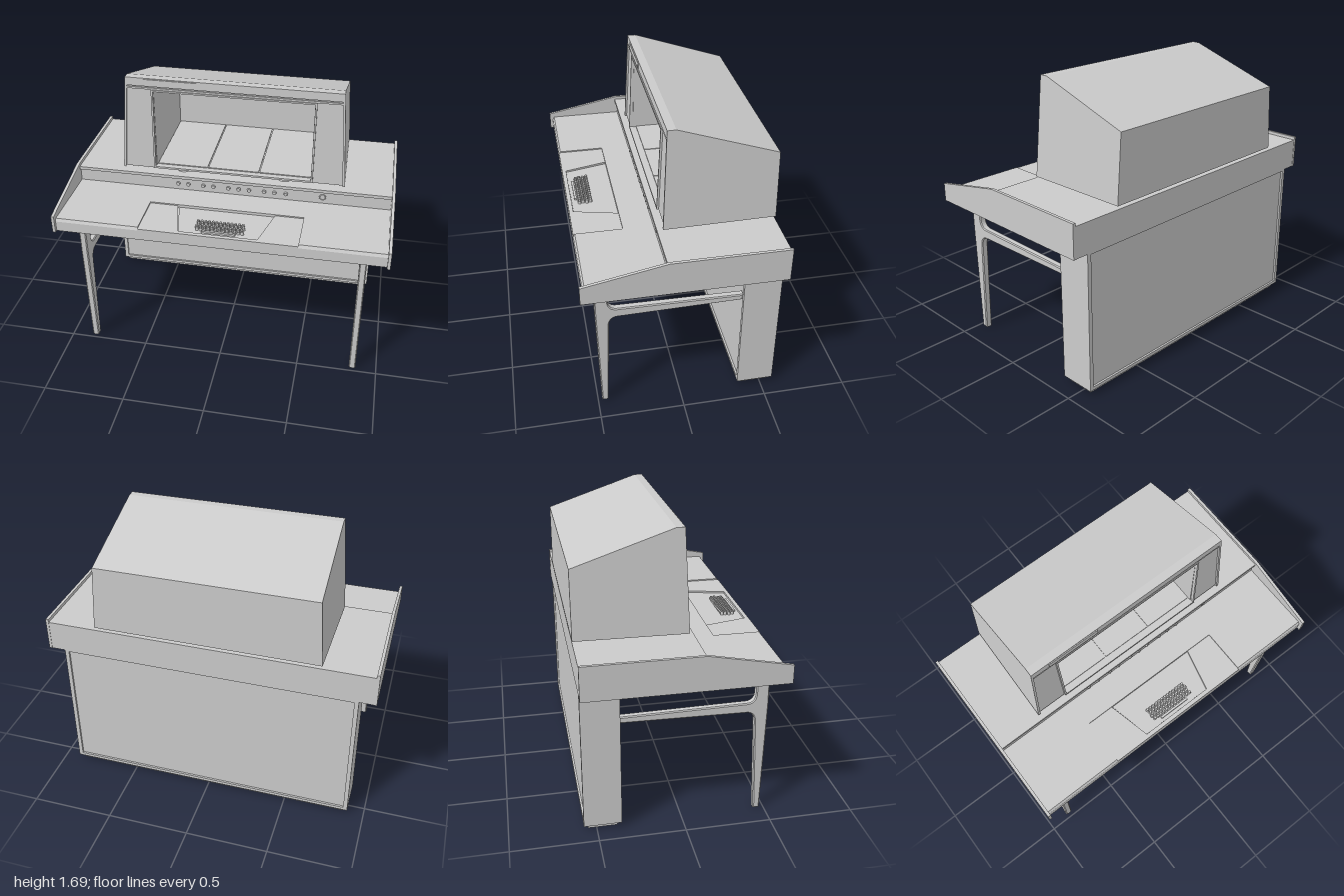
import * as THREE from 'three';

const grey = new THREE.MeshStandardMaterial({ color: 0xcccccc });

function add(parent, name, geo, x = 0, y = 0, z = 0) {
  const m = new THREE.Mesh(geo, grey);
  m.name = name;
  m.position.set(x, y, z);
  parent.add(m);
  return m;
}

// Box given by its minimum and maximum corners
function box(parent, name, x0, x1, y0, y1, z0, z1) {
  return add(parent, name, new THREE.BoxGeometry(x1 - x0, y1 - y0, z1 - z0),
    (x0 + x1) / 2, (y0 + y1) / 2, (z0 + z1) / 2);
}

const poly = pts => new THREE.Shape(pts.map(p => new THREE.Vector2(p[0], p[1])));

// Extrude a (z, y) profile across x, from x0 to x1
function acrossX(shape, x0, x1, bevel = 0) {
  const g = new THREE.ExtrudeGeometry(shape, {
    depth: x1 - x0 - 2 * bevel, curveSegments: 8, bevelEnabled: bevel > 0,
    bevelSize: bevel, bevelThickness: bevel, bevelOffset: -bevel, bevelSegments: 1,
  });
  g.rotateY(-Math.PI / 2);
  g.translate(x1 - bevel, 0, 0);
  return g;
}

// Extrude an (x, z) outline upwards from y0 to y1
function upward(pts, y0, y1) {
  const g = new THREE.ExtrudeGeometry(poly(pts.map(([x, z]) => [x, -z])), { depth: y1 - y0, bevelEnabled: false });
  g.rotateX(-Math.PI / 2);
  g.translate(0, y0, 0);
  return g;
}

// Apply a rule to every vertex
function warp(g, rule) {
  const p = g.attributes.position, v = new THREE.Vector3();
  for (let i = 0; i < p.count; i++) {
    rule(v.fromBufferAttribute(p, i));
    p.setXYZ(i, v.x, v.y, v.z);
  }
  g.computeVertexNormals();
  return g;
}

function makeDesk() {
  const desk = new THREE.Group();
  desk.name = 'desk';
  const side = poly([[0.58, 0.885], [0.58, 0.995], [0.1, 1.09], [-0.58, 1.09], [-0.58, 0.885]]);
  add(desk, 'leftEndPanel', acrossX(side, 0.982, 1));
  add(desk, 'rightEndPanel', acrossX(side, -1, -0.982));

  // Body with the raised rear deck
  const body = poly([[0.56, 0.885], [0.56, 0.945], [0.09, 0.945], [0.09, 1.05], [0.105, 1.05],
    [0.105, 1.07], [-0.578, 1.07], [-0.578, 0.885]]);
  add(desk, 'deskBody', acrossX(body, -0.982, 0.982));

  // Work surface around the keyboard bay, with a chamfered front edge
  const top = poly([[0.56, 0.945], [0.56, 0.95], [0.55, 0.968], [0.09, 0.968], [0.09, 0.945]]);
  add(desk, 'leftWorkTop', acrossX(top, 0.475, 0.982));
  add(desk, 'rightWorkTop', acrossX(top, -0.982, -0.475));
  box(desk, 'rearWorkTop', -0.475, 0.475, 0.945, 0.968, 0.09, 0.27);
  for (const s of [-1, 1]) {
    const pts = [[0.3, 0.27], [0.475, 0.27], [0.475, 0.56], [0.235, 0.56], [0.235, 0.535]];
    add(desk, 'keyboardFlank', upward(pts.map(([x, z]) => [s * x, z]), 0.944, 0.96));
  }
  box(desk, 'keyboardFrontRail', -0.235, 0.235, 0.944, 0.96, 0.535, 0.56);

  // Sunken keyboard tray and keys
  const tray = upward([[-0.295, 0.27], [0.295, 0.27], [0.234, 0.533], [-0.234, 0.533]], 0.94, 0.95);
  add(desk, 'keyboardTray', tray);
  const keyGeo = new THREE.CylinderGeometry(0.008, 0.011, 0.022, 8);
  for (let r = 0; r < 4; r++) {
    for (let k = 0; k < 13; k++) {
      add(desk, 'key', keyGeo, -0.138 + k * 0.0225 + (r % 2 ? 0.006 : 0), 0.963 - r * 0.002, 0.418 + r * 0.0225);
    }
  }
  box(desk, 'spaceBar', -0.1, 0.1, 0.945, 0.962, 0.5, 0.514);

  // Control knobs on the upright strip
  const knob = new THREE.CylinderGeometry(0.011, 0.013, 0.014, 16).rotateX(Math.PI / 2);
  for (const x of [-0.34, -0.275, -0.18, -0.115, -0.02, 0.045, 0.11, 0.205, 0.27, 0.34]) {
    add(desk, 'knob', knob, x, 1.01, 0.095);
  }
  add(desk, 'dialRing', new THREE.TorusGeometry(0.019, 0.003, 6, 24), 0.567, 1.01, 0.09);
  return desk;
}

function makePedestal() {
  const p = new THREE.Group();
  p.name = 'pedestal';
  box(p, 'pedestalCore', -0.88, 0.88, 0.04, 0.885, -0.563, -0.367);
  for (const s of [-1, 1]) box(p, 'pedestalEnd', s * 0.8875 - 0.0125, s * 0.8875 + 0.0125, 0.03, 0.885, -0.575, -0.355);
  box(p, 'bottomRail', -0.875, 0.875, 0.03, 0.05, -0.575, -0.355);
  box(p, 'topRail', -0.875, 0.875, 0.875, 0.885, -0.575, -0.355);
  box(p, 'plinth', -0.875, 0.875, 0, 0.03, -0.55, -0.38);
  return p;
}

// Tapered front leg with a filleted stretcher running back to the pedestal
function makeLeg(s) {
  const sh = new THREE.Shape();
  sh.moveTo(0.437, 0);
  sh.lineTo(0.475, 0);
  sh.lineTo(0.495, 0.7);
  sh.lineTo(0.495, 0.89);
  sh.lineTo(0.42, 0.89);
  sh.lineTo(0.42, 0.77);
  sh.quadraticCurveTo(0.418, 0.714, 0.37, 0.712);
  sh.lineTo(-0.36, 0.702);
  sh.lineTo(-0.36, 0.664);
  sh.lineTo(0.37, 0.652);
  sh.quadraticCurveTo(0.415, 0.65, 0.418, 0.59);
  const g = acrossX(sh, s * 0.85 - 0.021, s * 0.85 + 0.021, 0.006);
  const m = new THREE.Mesh(g, grey);
  m.name = s > 0 ? 'leftLegAndStretcher' : 'rightLegAndStretcher';
  return m;
}

function makeHood() {
  const hood = new THREE.Group();
  hood.name = 'hood';
  // Half width narrows upwards and slightly towards the back
  const half = (y, z) => 0.695 - 0.0667 * (y - 1.09) - 0.02 * (0.07 - z);
  const frontZ = y => 0.075 - 0.0417 * (y - 1.09);
  const widen = v => { v.x *= half(v.y, v.z); };

  // Wrap of floor, back and roof, closed by tapering side walls
  const wrap = poly([[0.06, 1.09], [-0.58, 1.09], [-0.58, 1.495], [0, 1.69], [0.05, 1.69], [0.05, 1.67],
    [0, 1.67], [-0.565, 1.48], [-0.565, 1.103], [0.06, 1.103]]);
  add(hood, 'hoodWrap', warp(acrossX(wrap, -0.995, 0.995), widen));
  const wall = poly([[0.075, 1.09], [-0.58, 1.09], [-0.58, 1.495], [0, 1.69], [0.05, 1.69]]);
  add(hood, 'leftHoodWall', warp(acrossX(wall, 0.98, 1), widen));
  add(hood, 'rightHoodWall', warp(acrossX(wall, -1, -0.98), widen));

  // Cavity walls
  const inner = poly([[0.05, 1.1], [-0.57, 1.1], [-0.57, 1.485], [0, 1.675], [0.035, 1.675]]);
  add(hood, 'leftCavityWall', acrossX(inner, 0.485, 0.497));
  add(hood, 'rightCavityWall', acrossX(inner, -0.497, -0.485));

  // Leaning front parts: flat outlines sheared onto the front plane
  const lean = (name, shape, depth, offset) => {
    const g = new THREE.ExtrudeGeometry(shape, { depth, bevelEnabled: false });
    return add(hood, name, warp(g, v => { v.z += frontZ(v.y) + offset - depth; }));
  };
  const rect = (x0, x1, y0, y1) => poly([[x0, y0], [x1, y0], [x1, y1], [x0, y1]]);
  const band = (y0, y1) => {
    const a = half(y0, 0.07) - 0.006, b = half(y1, 0.05) - 0.006;
    return poly([[-a, y0], [a, y0], [b, y1], [-b, y1]]);
  };
  const face = band(1.092, 1.688);
  face.holes.push(rect(-0.49, 0.49, 1.105, 1.612));
  lean('frontPanel', face, 0.015, -0.012);
  lean('topBand', band(1.64, 1.689), 0.015, 0);
  lean('lowerBand', band(1.619, 1.63), 0.012, -0.004);
  const trim = rect(-0.498, 0.498, 1.095, 1.618);
  trim.holes.push(rect(-0.487, 0.487, 1.107, 1.608));
  lean('openingTrim', trim, 0.02, 0);
  lean('namePlate', rect(-0.54, -0.218, 1.65, 1.685), 0.012, 0.006);

  // Raised floor panels inside with narrow seams between them
  for (let i = 0; i < 3; i++) {
    const x = -0.485 + i * 0.3235;
    box(hood, 'floorPanel', x + 0.003, x + 0.32, 1.1, 1.109, -0.56, 0.03);
  }

  // Low feet lifting the hood off the deck
  const foot = new THREE.CylinderGeometry(0.028, 0.05, 0.024, 20);
  for (const x of [-0.32, 0.32]) for (const z of [0.0, -0.5]) add(hood, 'hoodFoot', foot, x, 1.08, z);
  return hood;
}

export function createModel() {
  const model = new THREE.Group();
  model.name = 'consoleDesk';
  model.add(makeDesk(), makePedestal(), makeLeg(1), makeLeg(-1), makeHood());
  return model;
}
